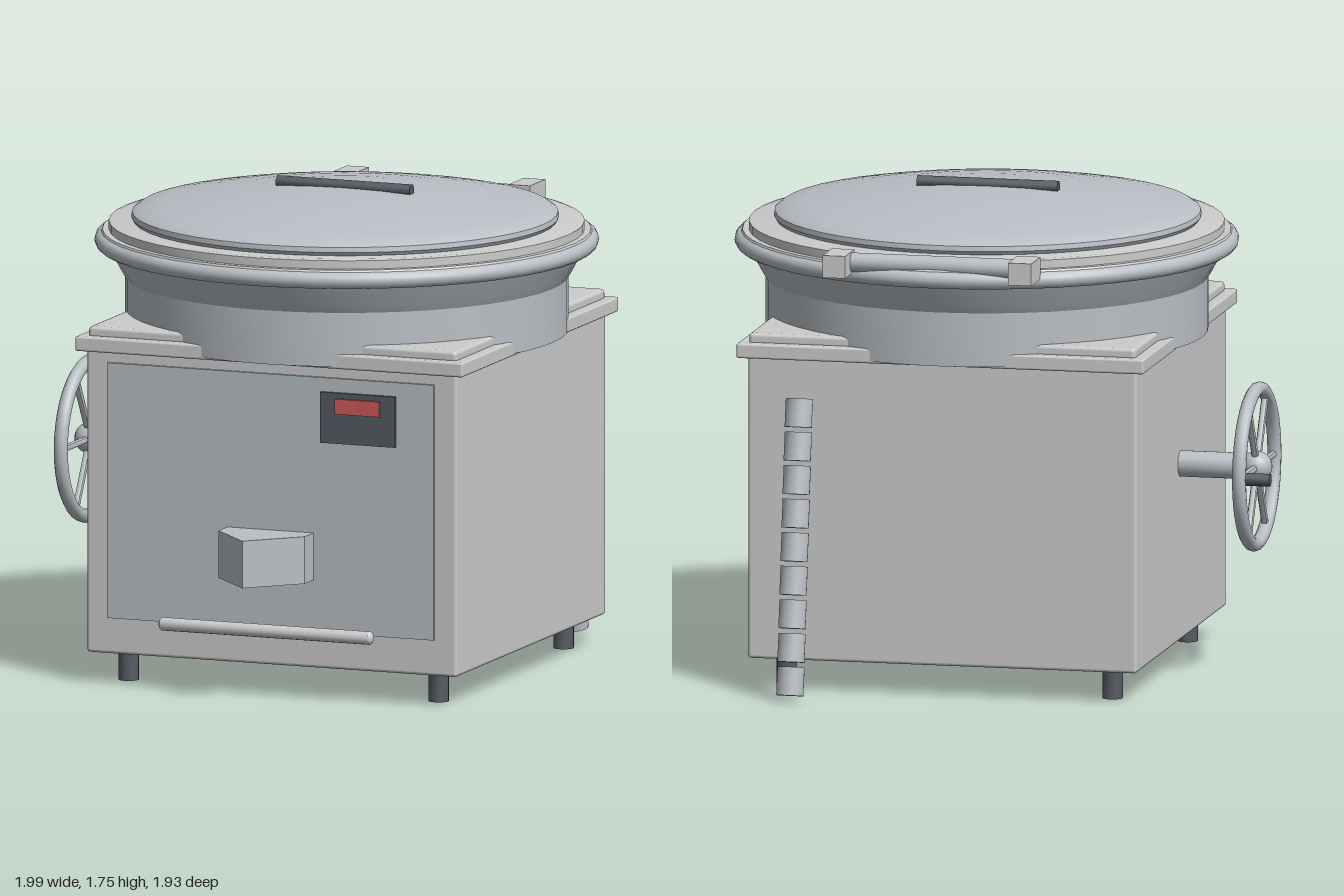
import * as THREE from 'three';
import { toCreasedNormals } from 'three/addons/utils/BufferGeometryUtils.js';
import { RoundedBoxGeometry } from 'three/addons/geometries/RoundedBoxGeometry.js';

const mat = (color) => new THREE.MeshStandardMaterial({ color });
const CX = 0.095, CZ = -0.01; // centre of cabinet and pot

export function createModel() {
  const root = new THREE.Group();
  const grey = mat(0xcccccc), steel = mat(0xb9bfc5), dark = mat(0x565b63), red = mat(0xd05a5a);

  const add = (name, geo, material, x = 0, y = 0, z = 0, parent = root) => {
    const mesh = new THREE.Mesh(geo, material);
    mesh.name = name;
    mesh.position.set(x, y, z);
    parent.add(mesh);
    return mesh;
  };
  // Box given by its minimum and maximum corners
  const box = (name, a, b, material, radius = 0) => {
    const s = a.map((v, i) => b[i] - v), c = a.map((v, i) => (v + b[i]) / 2);
    const geo = radius ? new RoundedBoxGeometry(...s, 2, radius) : new THREE.BoxGeometry(...s);
    return add(name, geo, material, ...c);
  };
  const cyl = (r, h, n = 16) => toCreasedNormals(new THREE.CylinderGeometry(r, r, h, n), 0.9);
  // Cylinder lying along x
  const barX = (name, r, x0, x1, y, z, material, n = 16, parent = root) => {
    const m = add(name, cyl(r, x1 - x0, n), material, (x0 + x1) / 2, y, z, parent);
    m.rotation.z = Math.PI / 2;
    return m;
  };
  const lathe = (name, pts, material, z = CZ) => add(name, toCreasedNormals(
    new THREE.LatheGeometry(pts.map((p) => new THREE.Vector2(...p)), 48), 0.5), material, CX, 0, z);

  // Cabinet with worktop and raised inner plate
  box('cabinet', [-0.613, 0.11, -0.715], [0.803, 1.21, 0.703], grey, 0.012);
  box('worktop', [-0.647, 1.197, -0.753], [0.837, 1.25, 0.732], grey, 0.008);
  box('raisedPlate', [-0.61, 1.24, -0.717], [0.8, 1.283, 0.697], grey, 0.014);

  // Feet
  for (const x of [-0.5, 0.687]) for (const z of [0.583, -0.6])
    add('foot', cyl(0.037, 0.13, 12), dark, x, 0.065, z);

  // Pot: straight wall, flare and rolled rim
  const rim = [];
  for (let i = 0; i <= 8; i++) {
    const a = -Math.PI / 2 + (Math.PI * i) / 8;
    rim.push([0.865 + 0.031 * Math.cos(a), 1.531 + 0.031 * Math.sin(a)]);
  }
  lathe('pot', [[0, 1.206], [0.787, 1.206], [0.787, 1.4], [0.805, 1.43], [0.842, 1.5], ...rim, [0.84, 1.562]], steel);

  // Lid: flat flange and shallow dome
  lathe('lidFlange', [[0.875, 1.555], [0.868, 1.568], [0.845, 1.568], [0.845, 1.598], [0.83, 1.602], [0, 1.602]], grey);
  const dome = [[0.75, 1.6], [0.76, 1.615], [0.757, 1.633], [0.735, 1.647]];
  for (const r of [0.66, 0.56, 0.44, 0.3, 0.15, 0]) dome.push([r, 1.72 - 0.135 * r * r]);
  lathe('lidDome', dome, steel, 0.005);
  barX('lidHandle', 0.022, -0.163, 0.35, 1.723, 0.005, dark, 12);

  // Lid hinge at the back
  for (const [x0, x1] of [[-0.285, -0.2], [0.393, 0.475]])
    box('hingeBlock', [x0, 1.537, -0.952], [x1, 1.617, -0.805], grey);
  barX('hingeBar', 0.035, -0.21, 0.4, 1.577, -0.843, steel);

  // Front panel and display
  box('frontPanel', [-0.53, 0.24, 0.69], [0.72, 1.16, 0.714], steel);
  box('displayFrame', [0.29, 0.927, 0.7], [0.577, 1.11, 0.726], dark);
  box('displayScreen', [0.35, 1.035, 0.71], [0.52, 1.09, 0.737], red);

  // Pointed outlet spout
  const plan = new THREE.Shape([[-0.07, -0.7], [-0.07, -0.797], [0.09, -0.967], [0.26, -0.797], [0.26, -0.7]]
    .map((p) => new THREE.Vector2(...p)));
  add('spout', new THREE.ExtrudeGeometry(plan, { depth: 0.17, bevelEnabled: false }), steel, 0, 0.428, 0)
    .rotation.x = -Math.PI / 2;

  // Lower front handle with end caps and stand-offs
  barX('frontHandle', 0.024, -0.3, 0.49, 0.24, 0.753, grey, 12);
  for (const x of [-0.3, 0.49]) {
    add('handleEnd', new THREE.SphereGeometry(0.024, 12, 8), grey, x, 0.24, 0.753).scale.x = 0.6;
    add('handlePost', cyl(0.015, 0.07, 10), grey, x < 0 ? x + 0.02 : x - 0.02, 0.24, 0.72).rotation.x = Math.PI / 2;
  }

  // Tilting handwheel on its shaft
  const wheel = new THREE.Group();
  wheel.name = 'handwheel';
  wheel.position.set(-0.89, 0.748, -0.016);
  root.add(wheel);
  add('wheelRim', new THREE.TorusGeometry(0.278, 0.025, 10, 40), steel, 0, 0, 0, wheel).rotation.y = Math.PI / 2;
  add('wheelHub', new THREE.SphereGeometry(0.056, 20, 14), steel, 0, 0, 0, wheel);
  barX('wheelShaft', 0.047, 0, 0.29, 0, 0, steel, 20, wheel);
  for (let i = 0; i < 6; i++) {
    const a = (i * Math.PI) / 3;
    add('wheelSpoke', cyl(0.013, 0.28, 8), steel, 0, 0.14 * Math.sin(a), 0.14 * Math.cos(a), wheel)
      .rotation.x = Math.PI / 2 - a;
  }
  barX('crankKnob', 0.023, -0.11, -0.005, 0, -0.262, dark, 12, wheel);

  // Segmented drain hose behind the cabinet
  for (let i = 0; i < 9; i++) {
    const t = i / 8;
    add('hoseSegment', cyl(0.049, 0.102, 16), steel, 0.603, 1.013 - 0.945 * t, -0.775 - 0.132 * t)
      .rotation.x = 0.2;
  }
  return root;
}
